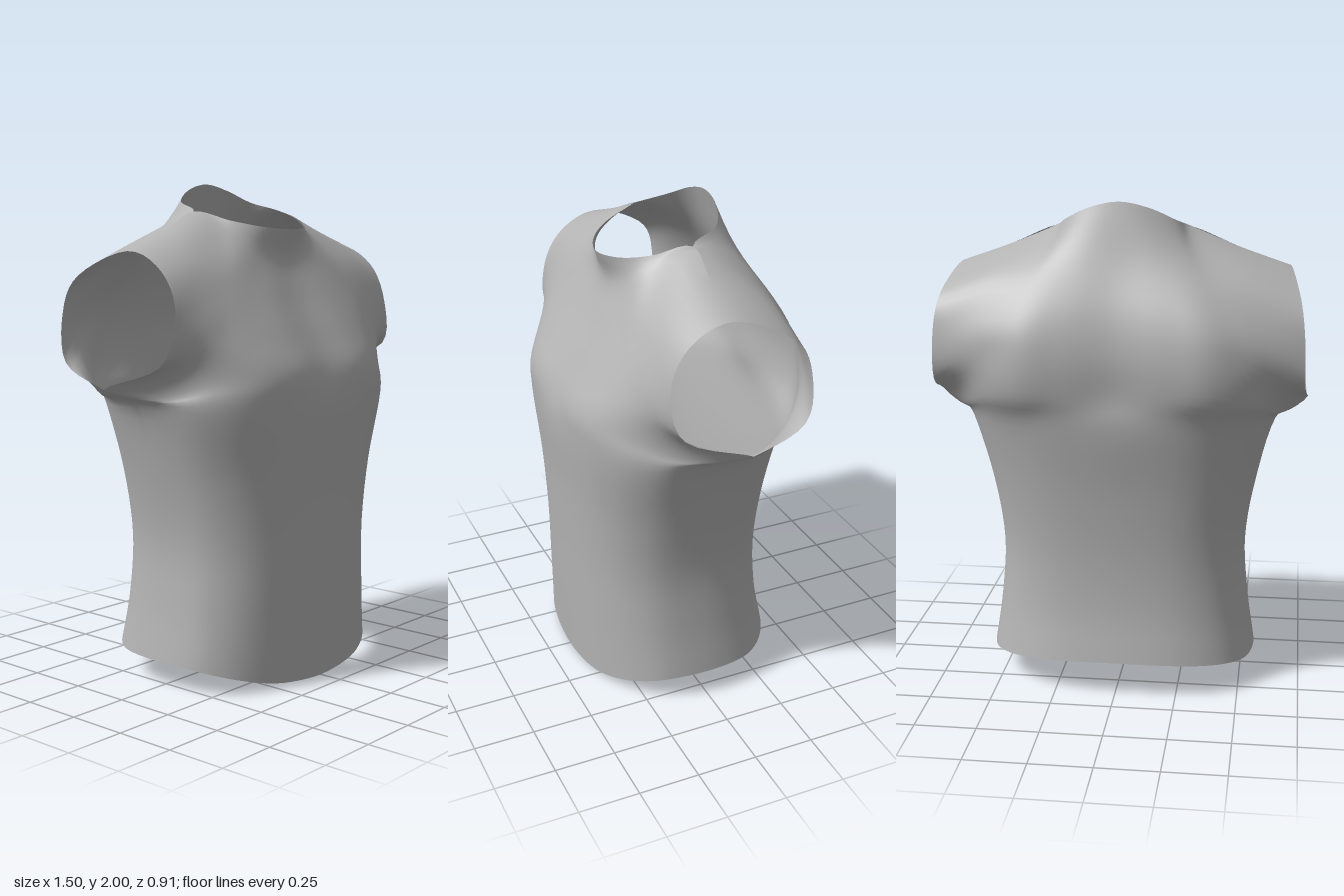
import * as THREE from 'three';
import { mergeVertices } from 'three/addons/utils/BufferGeometryUtils.js';

const COLS = 5;   // control columns from the centre line to the side edge
const TOP = 9;    // control row along neck and shoulder
const STEPS = 5;  // subdivisions per control cell

// Lower body rings: y at front, side, back; half width; z at front, back
const rings = [
  [0, 0.11, 0.15, 0.557, 0.4, -0.412],
  [0.3, 0.33, 0.35, 0.525, 0.41, -0.375],
  [0.58, 0.58, 0.58, 0.51, 0.418, -0.365],
  [0.85, 0.85, 0.85, 0.55, 0.43, -0.385],
  [1.12, 1.13, 1.12, 0.63, 0.45, -0.425],
];

// Chest rows from the centre to the sleeve edge; the last row is neckline and shoulder seam
const chest = [
  [[0, 1.26, 0.425], [0.2, 1.26, 0.435], [0.37, 1.26, 0.395], [0.52, 1.24, 0.29], [0.64, 1.19, 0.12], [0.745, 1.21, -0.08]],
  [[0, 1.4, 0.355], [0.2, 1.4, 0.365], [0.37, 1.4, 0.34], [0.5, 1.38, 0.295], [0.6, 1.35, 0.245], [0.71, 1.31, 0.185]],
  [[0, 1.56, 0.265], [0.17, 1.56, 0.275], [0.33, 1.55, 0.27], [0.45, 1.54, 0.255], [0.56, 1.52, 0.24], [0.665, 1.5, 0.225]],
  [[0, 1.7, 0.208], [0.13, 1.71, 0.2], [0.25, 1.72, 0.185], [0.35, 1.72, 0.16], [0.51, 1.7, 0.15], [0.66, 1.66, 0.15]],
  [[0, 1.815, 0.24], [0.13, 1.825, 0.195], [0.22, 1.85, 0.1], [0.28, 1.885, -0.04], [0.46, 1.81, -0.03], [0.67, 1.735, -0.02]],
];

// Upper back rows, sharing the underarm point and the shoulder seam with the chest
const back = [
  [[0, 1.26, -0.42], [0.2, 1.26, -0.44], [0.37, 1.26, -0.44], [0.52, 1.25, -0.37], [0.645, 1.19, -0.22], chest[0][5]],
  [[0, 1.42, -0.425], [0.2, 1.42, -0.445], [0.36, 1.42, -0.45], [0.5, 1.4, -0.4], [0.62, 1.36, -0.35], [0.738, 1.3, -0.3]],
  [[0, 1.58, -0.39], [0.19, 1.58, -0.405], [0.34, 1.57, -0.41], [0.47, 1.55, -0.38], [0.6, 1.53, -0.345], [0.73, 1.5, -0.32]],
  [[0, 1.78, -0.3], [0.14, 1.78, -0.3], [0.26, 1.76, -0.295], [0.36, 1.74, -0.275], [0.52, 1.71, -0.255], [0.71, 1.64, -0.25]],
  [[0, 2, -0.225], [0.12, 1.975, -0.215], [0.22, 1.925, -0.165], chest[4][3], chest[4][4], chest[4][5]],
];

// One point of a squarish oval ring
function ringPoint([yf, ys, yb, w, zf, zb], c, isBack) {
  const a = (c / COLS) * Math.PI / 2;
  const s = c === COLS ? 1 : Math.pow(Math.sin(a), 0.8);
  const k = c === COLS ? 0 : Math.pow(Math.cos(a), 0.75);
  const yc = isBack ? yb : yf, zc = isBack ? zb : zf;
  return [w * s, yc + (ys - yc) * s * s, -0.02 + (zc + 0.02) * k];
}

const extend = (a, b) => a.map((v, i) => 2 * v - b[i]);

// Control point lookup, continuing across seams and extrapolating at open edges
function control(r, c, isBack) {
  if (c < 0) {
    const [x, y, z] = control(r, -c, isBack);
    return [-x, y, z];
  }
  if (r < 0) return extend(control(0, c, isBack), control(1, c, isBack));
  if (r > TOP) {
    return c >= 3 ? control(TOP - 1, c, !isBack)
      : extend(control(TOP, c, isBack), control(TOP - 1, c, isBack));
  }
  if (c > COLS) {
    return r <= 5 ? control(r, COLS - 1, !isBack)
      : extend(control(r, COLS, isBack), control(r, COLS - 1, isBack));
  }
  if (r < rings.length) return ringPoint(rings[r], c, isBack);
  return (isBack ? back : chest)[r - rings.length][c];
}

function spline(p, t) {
  return [0, 1, 2].map((i) => {
    const [a, b, c, d] = p.map((q) => q[i]);
    return b + 0.5 * t * (c - a + t * (2 * a - 5 * b + 4 * c - d + t * (3 * (b - c) + d - a)));
  });
}

// Smooth surface position at row v and column u
function surface(u, v, isBack) {
  const c = Math.min(Math.floor(u), COLS - 1), r = Math.min(Math.floor(v), TOP - 1);
  const across = [-1, 0, 1, 2].map((dr) =>
    spline([-1, 0, 1, 2].map((dc) => control(r + dr, c + dc, isBack)), u - c));
  return spline(across, v - r);
}

// Front and back sheets welded along the sides and shoulders
function garmentGeometry() {
  const positions = [], index = [];
  const nu = COLS * 2 * STEPS, nv = TOP * STEPS;
  for (const isBack of [false, true]) {
    const start = positions.length / 3;
    for (let j = 0; j <= nv; j++) {
      for (let i = 0; i <= nu; i++) {
        const u = i / STEPS - COLS;
        const [x, y, z] = surface(Math.abs(u), j / STEPS, isBack);
        positions.push(u < 0 ? -x : x, Math.max(y, 0), z);
        if (i === nu || j === nv) continue;
        const a = start + j * (nu + 1) + i, b = a + 1, d = a + nu + 1, e = d + 1;
        if (isBack) index.push(a, e, b, a, d, e);
        else index.push(a, b, e, a, e, d);
      }
    }
  }
  const geometry = new THREE.BufferGeometry();
  geometry.setAttribute('position', new THREE.Float32BufferAttribute(positions, 3));
  geometry.setIndex(index);
  const welded = mergeVertices(geometry, 1e-4);
  welded.computeVertexNormals();
  return welded;
}

export function createModel() {
  const fabric = new THREE.MeshStandardMaterial({ color: 0xb3b3b3, side: THREE.DoubleSide });
  fabric.name = 'grey fabric';
  const shirt = new THREE.Mesh(garmentGeometry(), fabric);
  shirt.name = 'sleevelessShirt';
  const group = new THREE.Group();
  group.name = 'shirt';
  group.add(shirt);
  return group;
}
